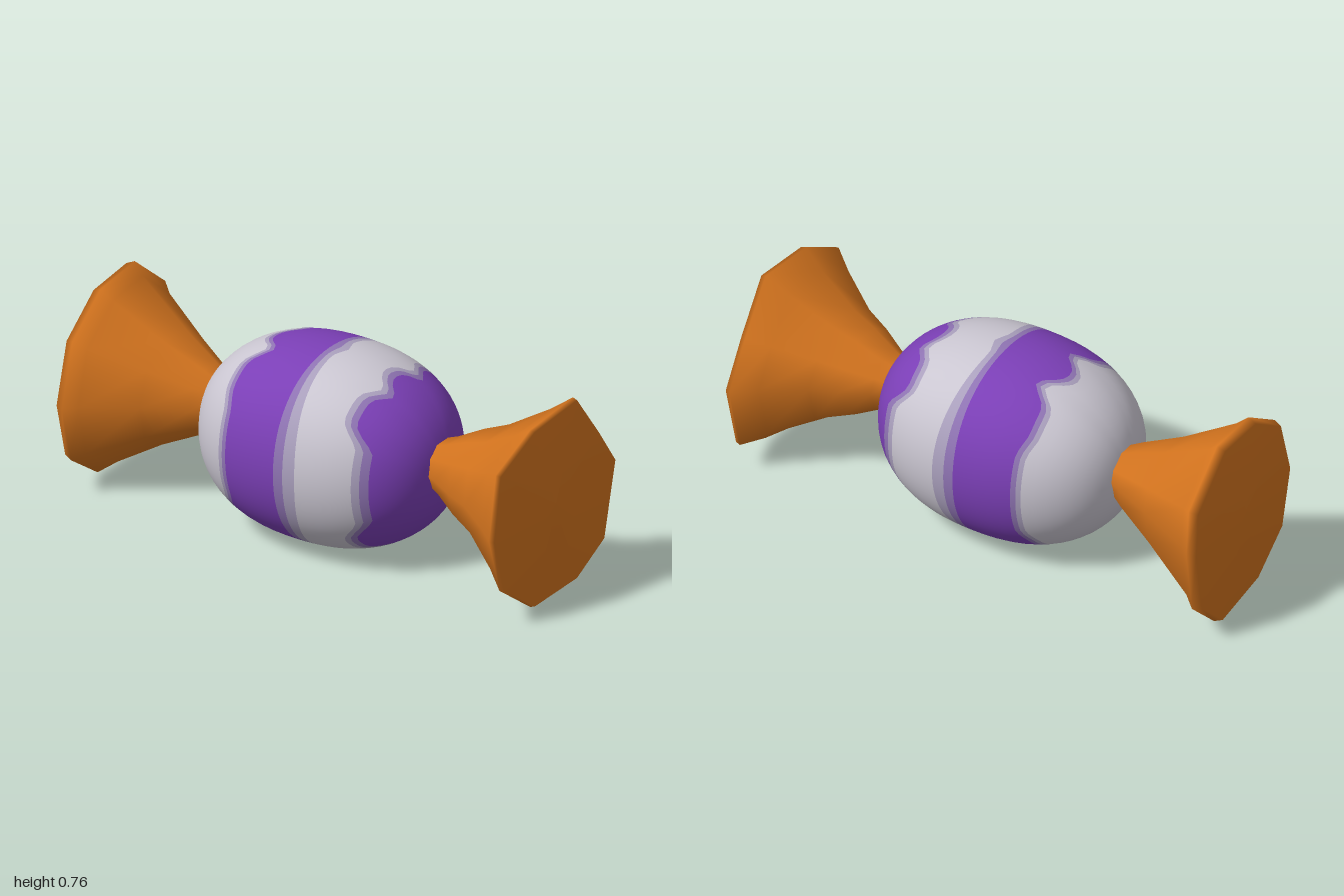
import * as THREE from 'three';

const { lerp, smoothstep } = THREE.MathUtils;

const material = (name, color) => {
  const m = new THREE.MeshStandardMaterial({ color });
  m.name = name;
  return m;
};

// Skin closed rings, listed in order of rising x; point(row, column) gives [x, y, z]
function loft(rows, columns, point) {
  const positions = [], indices = [];
  for (let i = 0; i < rows; i++) {
    for (let j = 0; j < columns; j++) {
      positions.push(...point(i, j));
      if (i === rows - 1) continue;
      const a = i * columns + j, b = i * columns + (j + 1) % columns;
      indices.push(a, b, a + columns, b, b + columns, a + columns);
    }
  }
  const geometry = new THREE.BufferGeometry();
  geometry.setAttribute('position', new THREE.Float32BufferAttribute(positions, 3));
  geometry.setIndex(indices);
  geometry.computeVertexNormals();
  return geometry;
}

// Rounded candy, cut into stripes by wavy edges that run around the x axis
function makeBody(materials) {
  const [grey, light, mid, purple] = [0, 1, 2, 3];
  const half = 0.496, radius = 0.371, columns = 80, power = 2.3;
  const degreesFromPole = (a) => Math.asin(Math.min(1, Math.abs(Math.sin(a)))) * 180 / Math.PI;
  const bump = (d, centre, width) => Math.exp(-(((d - centre) / width) ** 2));

  // Wavy edge: notched beside top and bottom, shifted by a flare along the sides
  const wavy = (x, notch, flare) => (a) => {
    const d = degreesFromPole(a);
    return x + notch * bump(d, 17, 8) + flare * smoothstep(d, 46, 64);
  };
  // Plain edge: widens towards the sides, with a small tip on top and bottom
  const plain = (x, flare, tip) => (a) =>
    x + flare * Math.sin(a) ** 2 + tip * bump(degreesFromPole(a), 0, 6);

  // Each stripe: its far edge, its colour and its number of rows
  const stripes = [
    [wavy(-0.28, 0.07, 0.025), grey, 10], [wavy(-0.262, 0.07, 0.025), light, 1],
    [wavy(-0.243, 0.07, 0.025), mid, 1], [() => 0.01, purple, 5],
    [plain(0.03, 0.02, 0.012), mid, 1], [plain(0.05, 0.05, 0.025), light, 1],
    [wavy(0.24, 0.05, 0.068), grey, 5], [wavy(0.262, 0.05, 0.072), light, 1],
    [wavy(0.285, 0.05, 0.077), mid, 1], [() => half, purple, 10],
  ];
  const rows = [() => -half];
  const groups = [];
  let near = rows[0];
  for (const [far, colour, count] of stripes) {
    const start = near;
    groups.push([(rows.length - 1) * columns * 6, count * columns * 6, colour]);
    for (let k = 1; k <= count; k++) {
      rows.push((a) => {
        const from = Math.asin(start(a) / half), to = Math.asin(far(a) / half);
        return half * Math.sin(lerp(from, to, k / count));
      });
    }
    near = far;
  }
  const geometry = loft(rows.length, columns, (i, j) => {
    const a = j / columns * Math.PI * 2;
    const x = rows[i](a);
    const profile = Math.max(0, 1 - Math.abs(x / half) ** power) ** (1 / power);
    const r = radius * profile * (1 + 0.025 * Math.sin(2 * a) ** 2);
    return [x, 0.374 + r * Math.cos(a), 0.013 + r * Math.sin(a)];
  });
  groups.forEach((g) => geometry.addGroup(...g));
  const body = new THREE.Mesh(geometry, materials);
  body.name = 'stripedCandy';
  return body;
}

// Flared wrapper end: a round neck that blends into an uneven rim, closed by a shallow cap.
// rings hold [distance from the middle, blend]; bend moves the rim along x by its z
function makeWing(name, side, rim, neck, rings, apex, bend, mat) {
  const count = rings.length + 1;
  const geometry = loft(count, rim.length, (row, j) => {
    const i = side > 0 ? row : count - 1 - row;
    if (i === rings.length) return [side * apex, 0.4, 0.035];
    const [x, t] = rings[i];
    const [z, y] = rim[j];
    const a = Math.atan2(z - neck.z, y - neck.y);
    return [
      side * (x + bend(z) * smoothstep(t, 0.5, 0.9)),
      lerp(neck.y + neck.r * Math.cos(a), y, t),
      lerp(neck.z + neck.r * Math.sin(a), z, t),
    ];
  });
  const wing = new THREE.Mesh(geometry, mat);
  wing.name = name;
  return wing;
}

export function createModel() {
  const grey = material('pale grey', 0xcac6d1);
  const light = material('pale violet', 0xaaa0bd);
  const mid = material('soft violet', 0x8f74b3);
  const purple = material('purple', 0x7b3fb6);
  const orange = material('orange wrapper', 0xd2731e);
  orange.side = THREE.DoubleSide;

  const model = new THREE.Group();
  model.name = 'wrappedCandy';
  model.add(makeBody([grey, light, mid, purple]));

  // Rim outlines as [z, y], from the top round by the front
  const leftRim = [[-0.12, 0.75], [0.14, 0.72], [0.33, 0.61], [0.365, 0.36], [0.31, 0.15],
    [0.14, 0.025], [-0.12, 0.04], [-0.305, 0.125], [-0.385, 0.405], [-0.265, 0.565]];
  const rightRim = [[-0.11, 0.76], [0.12, 0.742], [0.31, 0.61], [0.38, 0.375], [0.32, 0.15],
    [0.14, 0.03], [-0.13, 0.005], [-0.29, 0.16], [-0.33, 0.42], [-0.315, 0.6]];
  model.add(
    makeWing('leftWrapperTwist', 1, leftRim, { y: 0.4, z: 0, r: 0.09 },
      [[0.46, 0], [0.52, 0.08], [0.62, 0.27], [0.72, 0.42], [0.88, 0.77], [0.965, 1], [0.984, 0.98]],
      1, (z) => -0.15 * z * z, orange),
    makeWing('rightWrapperTwist', -1, rightRim, { y: 0.385, z: 0.02, r: 0.09 },
      [[0.46, 0], [0.53, 0.14], [0.69, 0.42], [0.9, 0.86], [0.945, 1], [0.978, 0.95]],
      0.985, (z) => -0.07 * z, orange),
  );
  return model;
}
